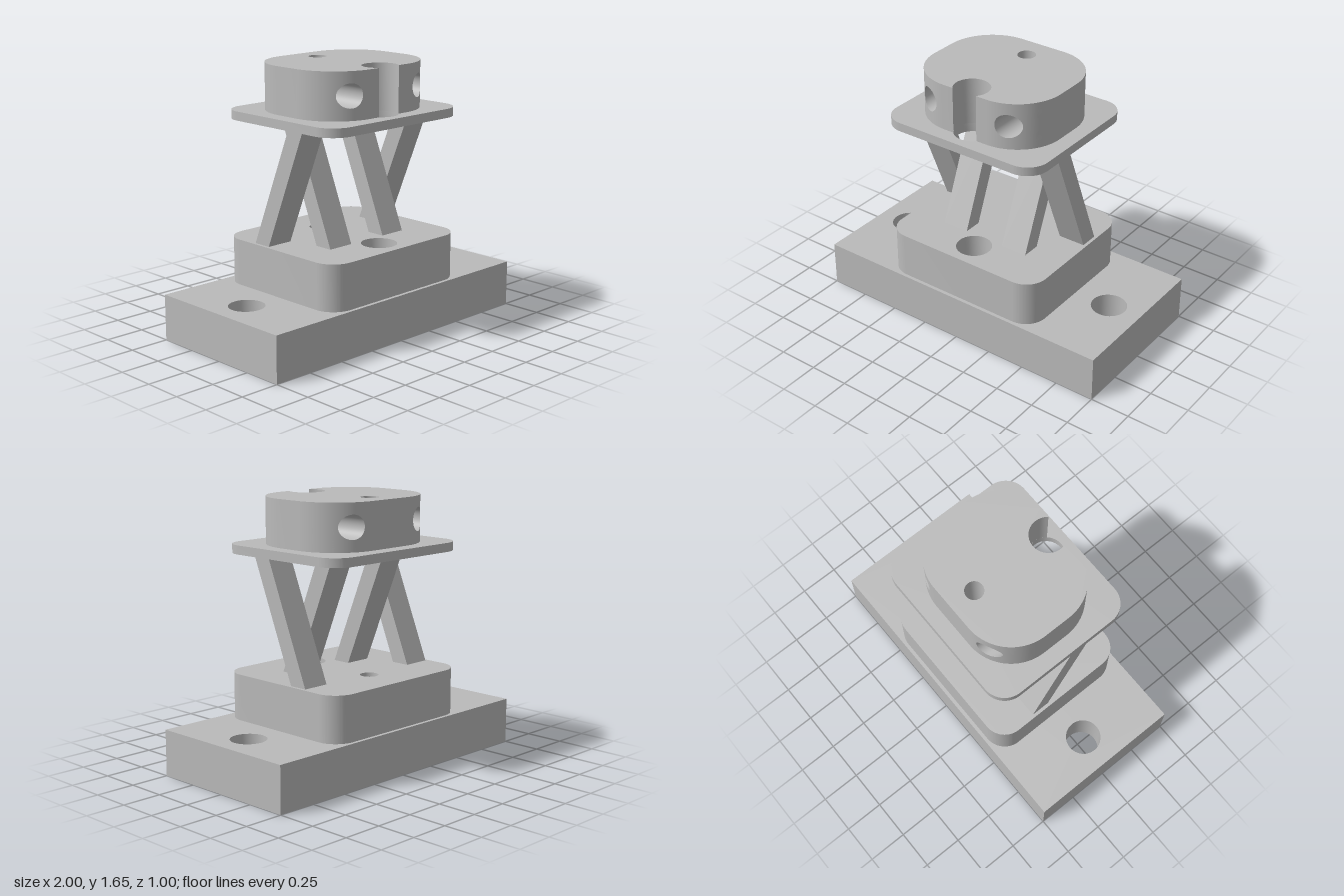
import * as THREE from 'three';
import { toCreasedNormals } from 'three/addons/utils/BufferGeometryUtils.js';

const SEG = 16;
const grey = new THREE.MeshStandardMaterial({ color: 0xbababa });
grey.name = 'grey';

// Vertical bores as [x, z, radius]
const mountBores = [[0.785, 0, 0.11], [-0.785, 0, 0.11]];
const bigBore = [0, 0.31, 0.11];
const smallBore = [0, -0.22, 0.056];

// Cap dimensions: half sizes, corner radius, height range, cross holes
const cap = { x: 0.452, z: 0.382, r: 0.3, y0: 1.36, y1: 1.648, holeX: 0.281, holeY: 1.505, holeR: 0.073 };
const cornerX = cap.x - cap.r, cornerZ = cap.z - cap.r;

function addMesh(parent, name, geometry) {
  const mesh = new THREE.Mesh(geometry, grey);
  mesh.name = name;
  parent.add(mesh);
  return mesh;
}

// Rounded rectangle in plan (shape y is -z); r = 0 gives square corners
function plan(hx, hz, r) {
  const s = new THREE.Shape();
  if (r === 0) {
    s.moveTo(-hx, -hz).lineTo(hx, -hz).lineTo(hx, hz).lineTo(-hx, hz);
  } else {
    s.moveTo(-hx + r, -hz);
    roundedCorners(s, hx, hz, r);
  }
  s.closePath();
  return s;
}

function roundedCorners(s, hx, hz, r) {
  const a = Math.PI / 2;
  s.absarc(hx - r, -hz + r, r, -a, 0, false);
  s.absarc(hx - r, hz - r, r, 0, a, false);
  s.absarc(-hx + r, hz - r, r, a, 2 * a, false);
  s.absarc(-hx + r, -hz + r, r, 2 * a, 3 * a, false);
}

function bore(shape, [x, z, r]) {
  shape.holes.push(new THREE.Path().absarc(x, -z, r, 0, Math.PI * 2, true));
}

// Extrude a plan upward from y0 to y1
function slab(shape, y0, y1) {
  const g = new THREE.ExtrudeGeometry(shape, { depth: y1 - y0, bevelEnabled: false, curveSegments: SEG });
  g.rotateX(-Math.PI / 2).translate(0, y0, 0);
  return toCreasedNormals(g, 0.5);
}

function boredSlab(shape, bores, y0, y1) {
  bores.forEach(b => bore(shape, b));
  return slab(shape, y0, y1);
}

// Surface from a function (i, j) -> [position, normal]
function grid(nu, nv, fn, flip) {
  const pos = [], nor = [], idx = [];
  for (let i = 0; i <= nu; i++) for (let j = 0; j <= nv; j++) {
    const [p, n] = fn(i, j);
    pos.push(...p);
    nor.push(...n);
    if (i < nu && j < nv) {
      const a = i * (nv + 1) + j, b = a + nv + 1;
      idx.push(...(flip ? [a, b + 1, a + 1, a, b, b + 1] : [a, a + 1, b + 1, a, b + 1, b]));
    }
  }
  const g = new THREE.BufferGeometry();
  g.setAttribute('position', new THREE.Float32BufferAttribute(pos, 3));
  g.setAttribute('normal', new THREE.Float32BufferAttribute(nor, 3));
  g.setIndex(idx);
  return g;
}

// Cap lid, flat walls and front notch; the rounded corners are left open
function capBody() {
  const [, nz, nr] = bigBore;
  const dy = nz - cap.z, half = Math.sqrt(nr * nr - dy * dy);
  const s = new THREE.Shape();
  s.moveTo(half, -cap.z);
  roundedCorners(s, cap.x, cap.z, cap.r);
  s.lineTo(-half, -cap.z);
  s.absarc(0, -nz, nr, Math.atan2(dy, -half), Math.atan2(dy, half), true);
  bore(s, smallBore);
  const g = slab(s, cap.y0, cap.y1);
  const p = g.attributes.position, n = g.attributes.normal, pos = [], nor = [];
  for (let i = 0; i < p.count; i += 3) {
    const mx = (p.getX(i) + p.getX(i + 1) + p.getX(i + 2)) / 3;
    const mz = (p.getZ(i) + p.getZ(i + 1) + p.getZ(i + 2)) / 3;
    const isCorner = Math.abs(n.getY(i)) < 0.5 && Math.abs(mx) > cornerX + 1e-4 && Math.abs(mz) > cornerZ + 1e-4;
    if (isCorner) continue;
    for (let k = i; k < i + 3; k++) {
      pos.push(p.getX(k), p.getY(k), p.getZ(k));
      nor.push(n.getX(k), n.getY(k), n.getZ(k));
    }
  }
  const out = new THREE.BufferGeometry();
  out.setAttribute('position', new THREE.Float32BufferAttribute(pos, 3));
  out.setAttribute('normal', new THREE.Float32BufferAttribute(nor, 3));
  return out;
}

// Point on the cross hole's rim
function rim(t) {
  const a = -Math.PI / 4 + 2 * Math.PI * t;
  return [cap.holeX + cap.holeR * Math.cos(a), cap.holeY + cap.holeR * Math.sin(a), a];
}
const cornerAngle = x => Math.asin((x - cornerX) / cap.r);

// Curved corner wall: rings spreading from the hole rim to the patch border
function capCorner(sx, sz) {
  const side = 2 * SEG, n = 4 * side, rings = 8, q = Math.PI / 2;
  return grid(n, rings, (i, j) => {
    const [rx, ry] = rim(i / n);
    const e = Math.min(3, Math.floor(i / side)), f = i / side - e;
    const bs = [q, q * (1 - f), 0, q * f][e];
    const bv = [f, 1, 1 - f, 0][e];
    const k = j / rings;
    const s = THREE.MathUtils.lerp(cornerAngle(rx), bs, k);
    const y = THREE.MathUtils.lerp(ry, cap.y0 + bv * (cap.y1 - cap.y0), k);
    const nx = Math.sin(s), nz = Math.cos(s);
    return [[sx * (cornerX + cap.r * nx), y, sz * (cornerZ + cap.r * nz)], [sx * nx, 0, sz * nz]];
  }, sx * sz < 0);
}

// Inside wall of a cross hole running from front to back
function capTunnel(sx) {
  const n = 8 * SEG;
  return grid(n, 1, (i, j) => {
    const [x, y, a] = rim(i / n);
    const z = cornerZ + cap.r * Math.cos(cornerAngle(x));
    return [[sx * x, y, j ? -z : z], [-sx * Math.cos(a), -Math.sin(a), 0]];
  }, sx > 0);
}

// Slanted leg with level ends: a box sheared along z
function legGeometry(x, lean) {
  const y0 = 0.572, y1 = 1.305, h = y1 - y0;
  const g = new THREE.BoxGeometry(0.174, h, 0.119);
  const shear = new THREE.Matrix4().set(1, 0, 0, x, 0, 1, 0, (y0 + y1) / 2, 0, lean * 0.3 / h, 1, 0, 0, 0, 0, 1);
  g.applyMatrix4(shear);
  const flat = g.toNonIndexed();
  flat.computeVertexNormals();
  return flat;
}

export function createModel() {
  const model = new THREE.Group();
  model.name = 'fixture';

  // Stacked lower parts and the upper plate
  addMesh(model, 'base', boredSlab(plan(1, 0.5, 0), [...mountBores, bigBore, smallBore], 0, 0.286));
  addMesh(model, 'lowerBlock', boredSlab(plan(0.549, 0.478, 0.14), [bigBore, smallBore], 0.286, 0.572));
  addMesh(model, 'upperPlate', boredSlab(plan(0.549, 0.478, 0.14), [bigBore, smallBore], 1.305, 1.36));

  // Crossed legs: outer pair leans forward, inner pair leans back
  for (const sx of [1, -1]) {
    const sideName = sx > 0 ? 'left' : 'right';
    addMesh(model, sideName + 'OuterLeg', legGeometry(sx * 0.442, 1));
    addMesh(model, sideName + 'InnerLeg', legGeometry(sx * 0.222, -1));
  }

  // Cap with notch and two cross holes
  const capGroup = new THREE.Group();
  capGroup.name = 'cap';
  model.add(capGroup);
  addMesh(capGroup, 'capBody', capBody());
  for (const sx of [1, -1]) {
    addMesh(capGroup, 'capCrossHole', capTunnel(sx));
    for (const sz of [1, -1]) addMesh(capGroup, 'capCorner', capCorner(sx, sz));
  }
  return model;
}
